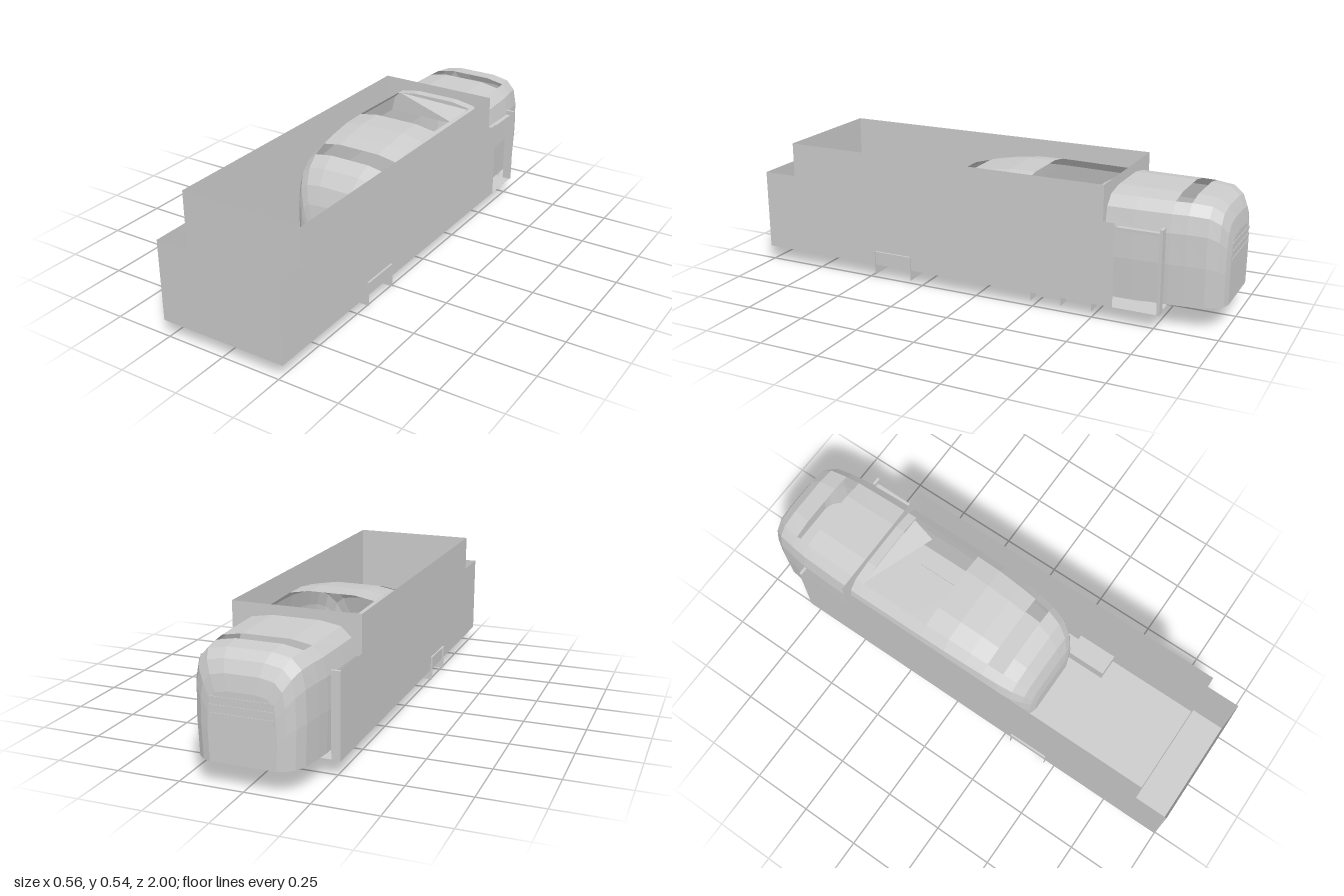
import * as THREE from 'three';

const material = new THREE.MeshStandardMaterial({ color: 0xcccccc, flatShading: true, side: THREE.DoubleSide });

export function createModel() {
  const model = new THREE.Group();

  function add(name, geometry, parent = model) {
    const mesh = new THREE.Mesh(geometry, material);
    mesh.name = name;
    parent.add(mesh);
    return mesh;
  }

  // Geometry from a list of quads or triangles (corner arrays)
  function faces(list) {
    const pos = [];
    for (const f of list) {
      for (let i = 2; i < f.length; i++) pos.push(...f[0], ...f[i - 1], ...f[i]);
    }
    const g = new THREE.BufferGeometry();
    g.setAttribute('position', new THREE.Float32BufferAttribute(pos, 3));
    g.computeVertexNormals();
    return g;
  }

  // Sheet walls perpendicular to each axis
  const wallX = (x, y0, y1, z0, z1) => [[x, y0, z1], [x, y0, z0], [x, y1, z0], [x, y1, z1]];
  const wallZ = (z, x0, x1, y0, y1) => [[x0, y0, z], [x1, y0, z], [x1, y1, z], [x0, y1, z]];
  const deck = (y, x0, x1, z0, z1) => [[x0, y, z1], [x1, y, z1], [x1, y, z0], [x0, y, z0]];

  // Lower open box, with the rear bay open on the left side
  add('lowerBox', faces([
    wallX(-0.27, 0.065, 0.4, -0.77, 1),
    wallX(0.27, 0.065, 0.4, -0.59, 1),
    wallZ(1, -0.27, 0.27, 0.065, 0.4),
    deck(0.065, -0.27, 0.27, -0.77, 1),
  ]));

  // Thin rear flanges on both sides of the shell
  for (const s of [-1, 1]) {
    const flange = add('rearFlange', new THREE.BoxGeometry(0.035, 0.335, 0.012));
    flange.position.set(s * 0.2525, 0.2325, -0.771);
  }
  add('bayRail', new THREE.BoxGeometry(0.02, 0.012, 0.18)).position.set(0.245, 0.375, -0.68);

  // Upper open box nested in the lower one
  add('upperBox', faces([
    wallX(-0.26, 0.065, 0.54, -0.54, 0.86),
    wallX(0.26, 0.065, 0.54, -0.54, 0.86),
    wallZ(0.86, -0.26, 0.26, 0.065, 0.54),
    wallZ(-0.54, -0.26, 0.26, 0.38, 0.54),
  ]));

  // Wheel housings: inner wall, roof and cross walls, open outside and below
  function housing(name, side, xIn, xOut, y0, y1, cuts) {
    const a = side * xIn, b = side * xOut;
    const first = cuts[0], last = cuts[cuts.length - 1];
    add(name, faces([
      wallX(a, y0, y1, first, last),
      deck(y1, a, b, first, last),
      ...cuts.map((z) => wallZ(z, a, b, y0, y1)),
    ]));
  }
  for (const s of [-1, 1]) {
    housing('frontWheelHousing', s, 0.167, 0.278, 0.023, 0.125, [0.29, 0.46]);
    housing('rearWheelHousing', s, 0.147, 0.203, 0, 0.1, [-0.48, -0.35, -0.22]);
  }

  // Rounded floor pan under the body shell
  const pan = new THREE.Shape();
  const px = 0.167, z0 = -0.74, z1 = 0.08, r = 0.1;
  pan.moveTo(-px + r, z0);
  pan.lineTo(px - r, z0).quadraticCurveTo(px, z0, px, z0 + r);
  pan.lineTo(px, z1 - r).quadraticCurveTo(px, z1, px - r, z1);
  pan.lineTo(-px + r, z1).quadraticCurveTo(-px, z1, -px, z1 - r);
  pan.lineTo(-px, z0 + r).quadraticCurveTo(-px, z0, -px + r, z0);
  const panMesh = add('floorPan', new THREE.ExtrudeGeometry(pan, { depth: 0.04, bevelEnabled: false, curveSegments: 5 }));
  panMesh.rotation.x = Math.PI / 2;
  panMesh.position.y = 0.085;

  // Body shell stations: z, half width, roof height, roof open up to the next station
  const stations = [
    [-0.998, 0.13, 0.36], [-0.988, 0.16, 0.42], [-0.965, 0.187, 0.465], [-0.925, 0.208, 0.493],
    [-0.85, 0.222, 0.5, true], [-0.79, 0.23, 0.5], [-0.65, 0.236, 0.5], [-0.5, 0.24, 0.5, true],
    [-0.19, 0.24, 0.505], [-0.08, 0.238, 0.503], [0.02, 0.232, 0.49], [0.1, 0.226, 0.475, true],
    [0.17, 0.218, 0.455], [0.23, 0.203, 0.42], [0.275, 0.178, 0.365], [0.3, 0.15, 0.29], [0.31, 0.12, 0.22],
  ];
  const half = [[0.97, 0], [1, 0.4], [0.985, 0.7], [0.92, 0.87], [0.75, 0.965], [0.4, 1]];
  const base = 0.095;
  const rings = stations.map(([z, w, top]) => {
    const right = half.map(([u, v]) => [u * w, base + v * (top - base), z]);
    const left = right.map(([x, y]) => [-x, y, z]).reverse();
    return [...right, ...left];
  });
  const shell = [rings[0], [...rings[rings.length - 1]].reverse()];
  for (let i = 0; i < rings.length - 1; i++) {
    const a = rings[i], b = rings[i + 1];
    for (let j = 0; j < a.length; j++) {
      if (stations[i][3] && j >= 4 && j <= 6) continue;
      const k = (j + 1) % a.length;
      shell.push([a[j], a[k], b[k], b[j]]);
    }
  }
  add('bodyShell', faces(shell));

  // Grille slats on the rear end
  for (let i = 0; i < 3; i++) {
    add('grilleSlat', new THREE.BoxGeometry(0.24, 0.014, 0.01)).position.set(0, 0.27 + i * 0.03, -0.995);
  }

  // Slanted panel across the cabin opening
  add('cabinFlap', faces([[[-0.17, 0.49, -0.5], [0.15, 0.45, -0.4], [0.17, 0.48, -0.5]]]));

  return model;
}
